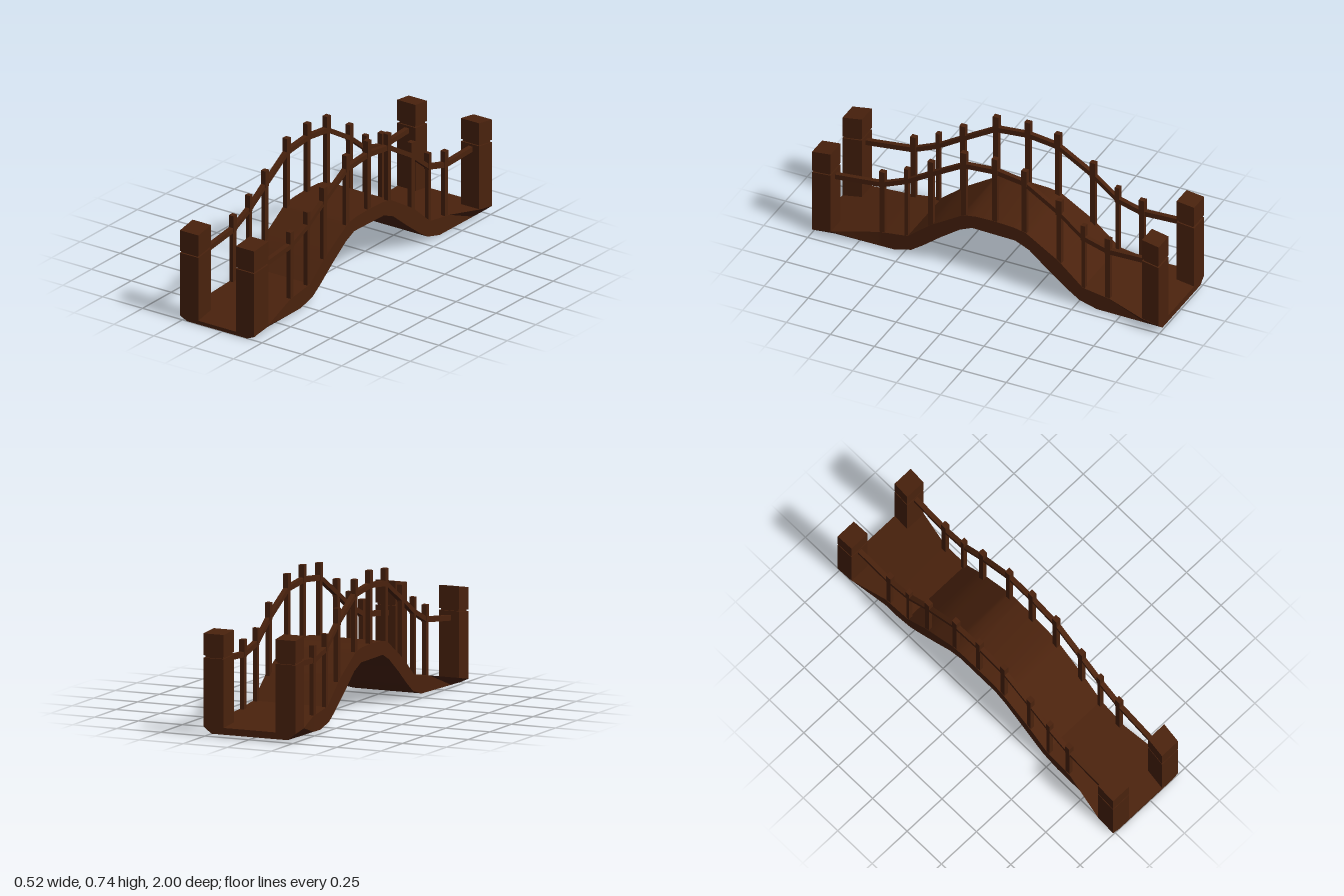
import * as THREE from 'three';
import { toCreasedNormals } from 'three/addons/utils/BufferGeometryUtils.js';

const wood = new THREE.MeshStandardMaterial({ color: 0x4a220d });
wood.name = 'dark brown wood';

// Height profiles along the bridge, as [z, y]
const TOP = [[-1, 0.05], [-0.69, 0.095], [-0.54, 0.115], [-0.4, 0.235], [-0.21, 0.348], [-0.14, 0.36],
  [-0.03, 0.363], [0.08, 0.358], [0.15, 0.345], [0.34, 0.225], [0.47, 0.118], [0.62, 0.095], [1, 0.02]];
const BOTTOM = [[-1, 0.015], [-0.62, 0.01], [-0.52, 0.035], [-0.45, 0.08], [-0.33, 0.17], [-0.23, 0.25],
  [-0.15, 0.283], [0.1, 0.283], [0.17, 0.25], [0.28, 0.17], [0.38, 0.09], [0.45, 0.04], [0.55, 0.012], [1, 0]];
const RAIL = [[-0.93, 0.39], [-0.68, 0.378], [-0.54, 0.415], [-0.4, 0.525], [-0.2, 0.643], [-0.03, 0.663],
  [0.15, 0.645], [0.34, 0.532], [0.48, 0.445], [0.62, 0.383], [0.92, 0.345]];
const FLARE = [[-1, 0.045], [-0.9, 0.043], [-0.7, 0], [0.64, 0], [0.89, 0.045], [1, 0.045]];

function sample(profile, z) {
  for (let i = 1; i < profile.length; i++) {
    const [z0, y0] = profile[i - 1], [z1, y1] = profile[i];
    if (z <= z1) return y0 + (y1 - y0) * (z - z0) / (z1 - z0);
  }
  return profile[profile.length - 1][1];
}

// The left edge runs slightly askew; the right edge is straight
const edge = (side, z) => (side < 0 ? -0.22 : 0.185 - 0.028 * z);

// Skin over a row of four-cornered cross-sections, closed at both ends
function loft(rings, crease = 0.2) {
  const index = [];
  for (let s = 0; s < rings.length - 1; s++) {
    for (let i = 0; i < 4; i++) {
      const a = s * 4 + i, b = s * 4 + (i + 1) % 4;
      index.push(a, b, b + 4, a, b + 4, a + 4);
    }
  }
  const e = (rings.length - 1) * 4;
  index.push(0, 2, 1, 0, 3, 2, e, e + 1, e + 2, e, e + 2, e + 3);
  const geo = new THREE.BufferGeometry();
  geo.setAttribute('position', new THREE.Float32BufferAttribute(rings.flat(2), 3));
  geo.setIndex(index);
  return toCreasedNormals(geo, crease);
}

function add(group, name, geo, x = 0, y = 0, z = 0) {
  const mesh = new THREE.Mesh(geo, wood);
  mesh.name = name;
  mesh.position.set(x, y, z);
  group.add(mesh);
  return mesh;
}

function makeDeck() {
  const zs = [...new Set([...TOP, ...BOTTOM, ...FLARE].map((p) => p[0]))].sort((a, b) => a - b);
  return loft(zs.map((z) => {
    const l = edge(-1, z), r = edge(1, z), f = sample(FLARE, z);
    const yb = sample(BOTTOM, z), yt = sample(TOP, z);
    return [[l, yb, z], [r, yb, z], [r + f, yt, z], [l - f, yt, z]];
  }), 0.45);
}

// Upright block on a skewed footprint; low and high give heights at the near and far z
function block(side, z0, z1, low, high, inset = 0) {
  const outer = (z) => (side < 0 ? -0.265 : (z > 0 ? 0.2 + (1 - z) * 0.09 : 0.258 - (z + 1) * 0.09));
  const xs = (z) => (side < 0 ? [outer(z), outer(z) + 0.115] : [outer(z) - 0.115, outer(z)]);
  const ring = ([y0, y1]) => {
    const a = xs(z0), b = xs(z1), za = z0 + inset, zb = z1 - inset;
    return [[b[0] + inset, y1, zb], [b[1] - inset, y1, zb], [a[1] - inset, y0, za], [a[0] + inset, y0, za]];
  };
  return loft([ring(low), ring(high)]);
}

export function createModel() {
  const bridge = new THREE.Group();
  bridge.name = 'arched bridge';
  add(bridge, 'deck', makeDeck());

  for (const side of [-1, 1]) {
    const label = side < 0 ? 'right' : 'left';

    // End posts with slanted caps
    for (const end of [1, -1]) {
      const post = new THREE.Group();
      post.name = `${label}${end > 0 ? 'Front' : 'Back'}Post`;
      bridge.add(post);
      const [z0, z1] = end > 0 ? [0.89, 1] : [-1, -0.9];
      const shaftTop = end > 0 ? [0.386, 0.37] : [0.405, 0.415];
      const capBase = end > 0 ? [0.396, 0.38] : [0.418, 0.428];
      const capTop = end > 0 ? [0.515, 0.495] : [0.531, 0.543];
      add(post, 'shaft', block(side, z0, z1, [sample(TOP, z0), sample(TOP, z1)], shaftTop));
      add(post, 'neck', block(side, z0, z1, shaftTop, capBase, 0.008));
      add(post, 'cap', block(side, z0, z1, capBase, capTop));
    }

    // Railing following the arch
    const railing = new THREE.Group();
    railing.name = `${label}Railing`;
    bridge.add(railing);
    const railX = (z) => edge(side, z) - side * 0.0145;
    add(railing, 'handrail', loft(RAIL.map(([z, y]) => {
      const x = railX(z), w = 0.013, h = 0.014;
      return [[x - w, y - h, z], [x + w, y - h, z], [x + w, y + h, z], [x - w, y + h, z]];
    })));

    // Balusters with small caps above the handrail
    for (const [z, y] of RAIL.slice(1, -1)) {
      const base = sample(TOP, z) - 0.015;
      const depth = Math.abs(z) > 0.45 && Math.abs(z) < 0.6 ? 0.02 : 0.028;
      add(railing, 'baluster', new THREE.BoxGeometry(0.024, y - base, depth), railX(z), (y + base) / 2, z);
      add(railing, 'balusterCap', new THREE.BoxGeometry(0.029, 0.09, depth + 0.004), railX(z), y + 0.033, z);
    }
  }
  return bridge;
}
